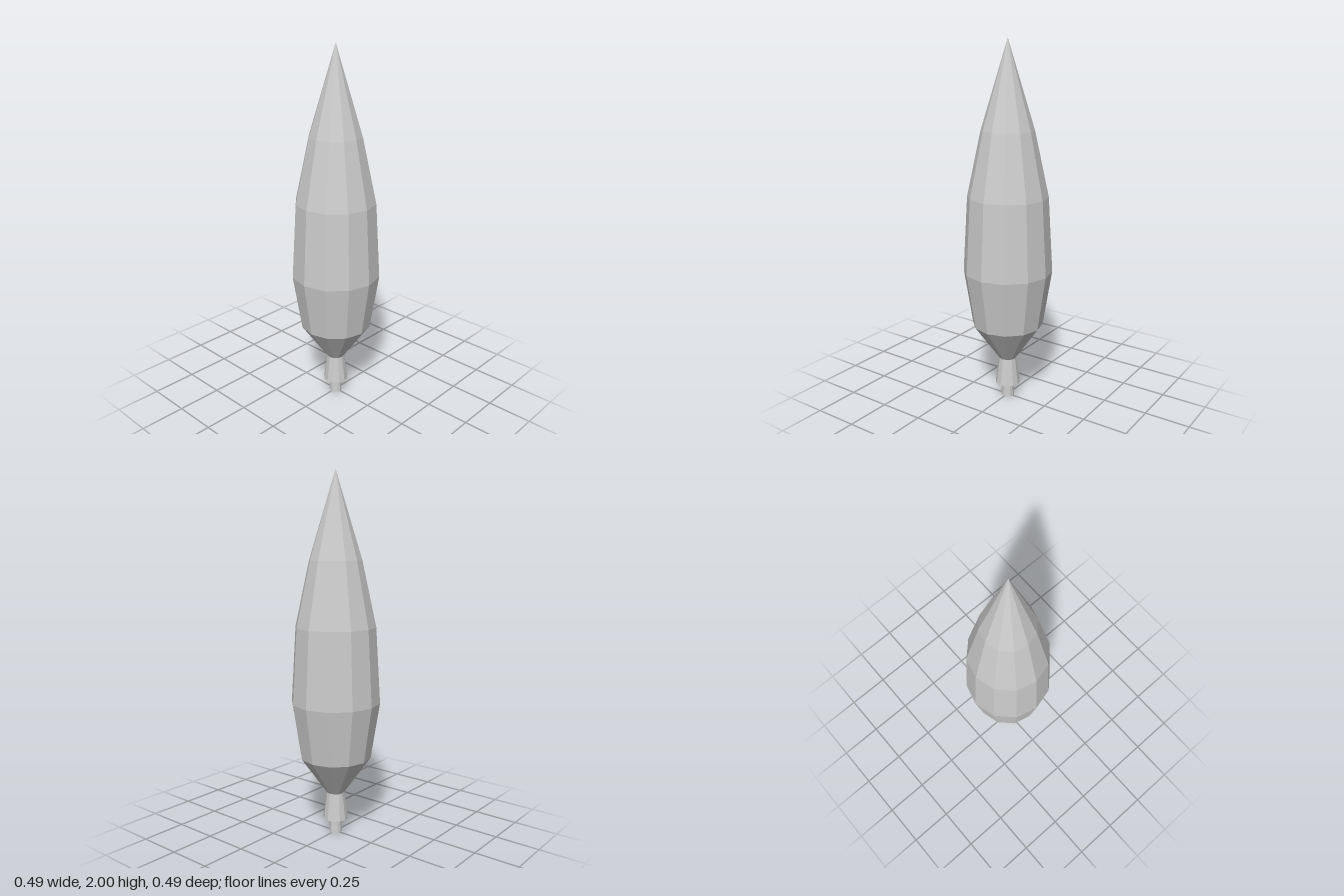
import * as THREE from 'three';

const SIDES = 12;

export function createModel() {
  const group = new THREE.Group();
  const material = new THREE.MeshStandardMaterial({ color: 0xcccccc, flatShading: true });

  // Faceted solid of revolution from [radius, height] pairs, bottom to top
  function turned(name, profile) {
    const points = profile.map(([r, y]) => new THREE.Vector2(r, y));
    const mesh = new THREE.Mesh(new THREE.LatheGeometry(points, SIDES), material);
    mesh.name = name;
    group.add(mesh);
  }

  // Narrow stem that stands on the ground
  turned('stem', [[0, 0], [0.037, 0], [0.032, 0.085], [0, 0.085]]);

  // Flared collar above the stem
  turned('collar', [[0, 0.083], [0.07, 0.083], [0.05, 0.237], [0, 0.237]]);

  // Tall body tapering to a point
  turned('body', [
    [0, 0.237], [0.05, 0.237], [0.197, 0.445], [0.246, 0.757],
    [0.221, 1.175], [0.144, 1.53], [0, 2],
  ]);

  return group;
}
